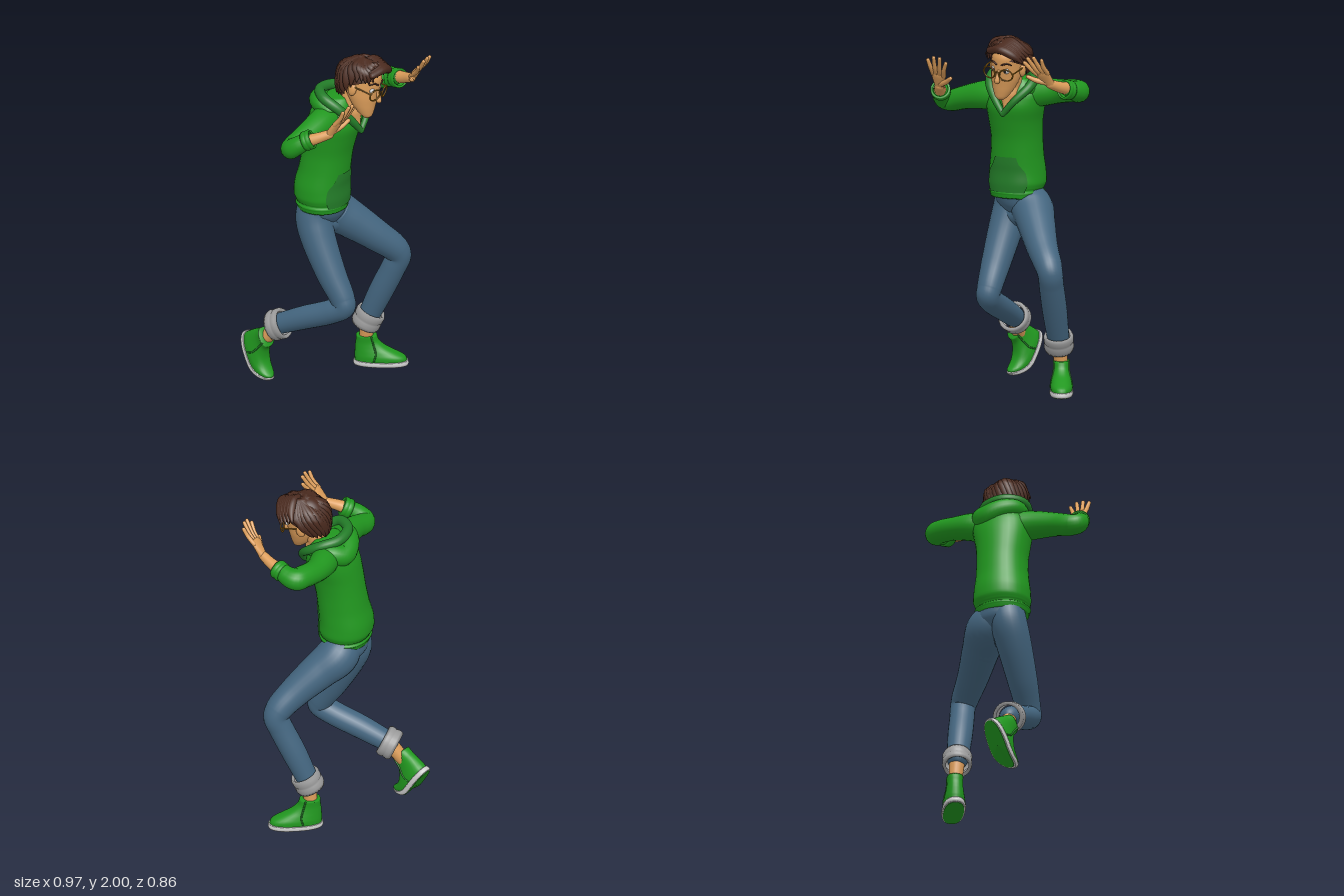
import * as THREE from 'three';

const V = (x, y, z) => new THREE.Vector3(x, y, z);
const paint = (color) => new THREE.MeshStandardMaterial({ color, side: THREE.DoubleSide });
const green = paint(0x21971f), darkGreen = paint(0x237c28), denim = paint(0x446680), skin = paint(0xdc9d5a),
  hair = paint(0x4a2a1e), grey = paint(0x9c9c9c), sole = paint(0xc4c4c4), gold = paint(0x9a6a14),
  white = paint(0xeeeeee), dark = paint(0x2a2522), lips = paint(0xa9603c);

function add(parent, name, geometry, material) {
  const mesh = new THREE.Mesh(geometry, material);
  mesh.name = name;
  parent.add(mesh);
  return mesh;
}

// Surface through equal rings of points; closed rings share their seam
function surface(rings, closed = true) {
  const n = rings[0].length, index = [];
  for (let i = 0; i < rings.length - 1; i++) {
    for (let j = 0; j < (closed ? n : n - 1); j++) {
      const k = (j + 1) % n, a = i * n + j, b = i * n + k;
      index.push(a, b, a + n, b, b + n, a + n);
    }
  }
  const g = new THREE.BufferGeometry().setFromPoints(rings.flat());
  g.setIndex(index);
  g.computeVertexNormals();
  return g;
}

// Stack of horizontal oval rings [x, y, z, radiusX, radiusZ, halfSpan?]; a span leaves an open front patch
function loft(list, { yaw = 0, power = 1, steps = 4, sides = 32 } = {}) {
  const open = list[0].length > 5;
  const centre = new THREE.CatmullRomCurve3(list.map((s) => V(s[0], s[1], s[2])));
  const size = new THREE.CatmullRomCurve3(list.map((s) => V(s[3], s[4], s[5] ?? Math.PI)));
  const rings = [], n = (list.length - 1) * steps, up = V(0, 1, 0);
  const bend = (v) => Math.sign(v) * Math.abs(v) ** power;
  for (let i = 0; i <= n; i++) {
    const c = centre.getPoint(i / n), r = size.getPoint(i / n);
    rings.push(Array.from({ length: sides }, (_, j) => {
      const a = r.z * (2 * j / (open ? sides - 1 : sides) - 1);
      return V(r.x * bend(Math.sin(a)), 0, r.y * bend(Math.cos(a))).applyAxisAngle(up, yaw).add(c);
    }));
  }
  if (!open) {
    for (const [end, at] of [['unshift', 0], ['push', n]]) {
      const c = centre.getPoint(at / n);
      rings[end](Array.from({ length: sides }, () => c.clone()));
    }
  }
  return surface(rings, !open);
}

// Round limb of varying thickness through [x, y, z, radius], with domed ends
function limb(list, sides = 18, steps = 6) {
  const path = new THREE.CatmullRomCurve3(list.map((s) => V(s[0], s[1], s[2])));
  const thick = new THREE.CatmullRomCurve3(list.map((s, i) => V(s[3], i, 0)));
  const n = (list.length - 1) * steps, rings = [];
  let normal = V(0.31, 0.2, 0.93);
  const ring = (t, dome) => {
    const tan = path.getTangent(t), r = thick.getPoint(t).x;
    normal = normal.clone().addScaledVector(tan, -normal.dot(tan)).normalize();
    const side = tan.clone().cross(normal), c = path.getPoint(t).addScaledVector(tan, r * Math.sin(dome));
    rings.push(Array.from({ length: sides }, (_, j) => {
      const a = j / sides * Math.PI * 2, q = r * Math.cos(dome);
      return c.clone().addScaledVector(normal, q * Math.cos(a)).addScaledVector(side, q * Math.sin(a));
    }));
  };
  for (const d of [-1.57, -1, -0.5]) ring(0, d);
  for (let i = 0; i <= n; i++) ring(i / n, 0);
  for (const d of [0.5, 1, 1.57]) ring(1, d);
  return surface(rings);
}

// Rolled fabric band around a limb
function band(parent, name, at, dir, r, h, material) {
  const profile = [[0.75, -0.35], [0.92, -0.5], [1, -0.3], [0.98, -0.05], [0.93, 0], [0.99, 0.06], [1, 0.32], [0.9, 0.5], [0.75, 0.35]];
  const m = add(parent, name, new THREE.LatheGeometry(profile.map(([x, y]) => new THREE.Vector2(x * r, y * h)), 28), material);
  m.position.set(...at);
  m.quaternion.setFromUnitVectors(V(0, 1, 0), V(...dir).normalize());
}

// Open hand: fingers along local y, thumb on the given side
function hand(parent, name, at, along, across, thumb) {
  const g = new THREE.Group(), y = V(...along).normalize(), x = V(...across);
  x.addScaledVector(y, -x.dot(y)).normalize();
  g.quaternion.setFromRotationMatrix(new THREE.Matrix4().makeBasis(x, y, x.clone().cross(y)));
  g.position.set(...at);
  g.name = name;
  parent.add(g);
  add(g, 'palm', loft([[0, -0.01, 0, 0.024, 0.022], [0, 0.03, 0, 0.034, 0.02], [0, 0.075, 0, 0.042, 0.017], [0, 0.1, 0, 0.036, 0.01]], { sides: 20 }), skin);
  [0.185, 0.208, 0.203, 0.175].forEach((tip, i) => {
    const b = (1.5 - i) * 0.021 * thumb;
    add(g, 'finger', limb([[b, 0.075, 0, 0.013], [b * 1.3, 0.13, 0.008, 0.0125], [b * 1.75, tip, 0.004, 0.0105]], 10, 4), skin);
  });
  add(g, 'thumb', limb([[0.012 * thumb, 0.02, 0.005, 0.018], [0.052 * thumb, 0.055, 0.015, 0.015], [0.084 * thumb, 0.095, 0.018, 0.011]], 10, 4), skin);
}

// High-topped shoe, toe along local z; curl lifts the toe tip
function shoe(parent, name, at, rx, ry, curl) {
  const g = new THREE.Group();
  g.name = name;
  g.position.set(...at);
  g.rotation.set(rx, ry, 0, 'YXZ');
  parent.add(g);
  add(g, 'shoeUpper', loft([[0, 0.02, 0.02, 0.06, 0.146], [0, 0.05, 0.016, 0.061, 0.142], [0, 0.08, -0.01, 0.055, 0.115],
    [0, 0.11, -0.038, 0.048, 0.085], [0, 0.145, -0.055, 0.044, 0.064], [0, 0.18, -0.06, 0.046, 0.057]], { power: 0.85 }), green);
  add(g, 'soleRim', loft([[0, 0.003, 0.02, 0.062, 0.15], [0, 0.015, 0.02, 0.066, 0.154], [0, 0.032, 0.02, 0.063, 0.15]], { power: 0.85 }), sole);
  add(g, 'tread', loft([[0, 0, 0.02, 0.056, 0.143], [0, 0.004, 0.02, 0.056, 0.143]], { power: 0.85 }), green);
  for (const s of [-1, 1]) {
    add(g, 'seam', limb([[s * 0.042, 0.178, -0.03, 0.005], [s * 0.043, 0.13, -0.018, 0.005], [s * 0.055, 0.08, -0.005, 0.005], [s * 0.061, 0.04, -0.015, 0.005]], 8, 4), darkGreen);
  }
  for (const { geometry } of g.children) {
    const p = geometry.attributes.position;
    for (let i = 0; i < p.count; i++) p.setY(i, p.getY(i) + curl * Math.max(0, p.getZ(i) - 0.05) ** 2);
    geometry.computeVertexNormals();
  }
}

function buildHead(parent) {
  const head = new THREE.Group();
  head.name = 'head';
  head.position.set(0.075, 1.825, 0.153);
  head.rotation.set(0.2, 0.33, -0.12, 'YXZ');
  parent.add(head);
  add(head, 'face', loft([[0, -0.172, 0.076, 0.015, 0.012], [0, -0.155, 0.066, 0.036, 0.038], [0, -0.11, 0.037, 0.062, 0.07], [0, -0.05, 0.012, 0.08, 0.095],
    [0, 0.01, 0, 0.084, 0.106], [0, 0.07, -0.005, 0.084, 0.108], [0, 0.12, -0.01, 0.062, 0.085], [0, 0.15, -0.01, 0.02, 0.03]]), skin);
  add(head, 'nose', limb([[0, 0.005, 0.1, 0.011], [0, -0.03, 0.12, 0.013], [0, -0.046, 0.124, 0.016]], 12, 4), skin);
  add(head, 'mouth', limb([[-0.03, -0.095, 0.084, 0.003], [0, -0.102, 0.1, 0.004], [0.03, -0.092, 0.084, 0.003]], 10, 4), lips);
  // Paired features of the face and the spectacles
  for (const s of [-1, 1]) {
    const ball = (name, x, y, z, r, m) => {
      const b = add(head, name, new THREE.SphereGeometry(1, 16, 12), m);
      b.position.set(s * x, y, z);
      b.scale.set(...r);
    };
    ball('ear', 0.092, -0.012, -0.005, [0.016, 0.036, 0.024], skin);
    ball('eye', 0.036, 0.008, 0.087, [0.02, 0.016, 0.014], white);
    ball('iris', 0.036, 0.008, 0.099, [0.008, 0.009, 0.004], dark);
    add(head, 'eyebrow', limb([[s * 0.016, 0.044, 0.103, 0.005], [s * 0.042, 0.054, 0.096, 0.005], [s * 0.066, 0.044, 0.078, 0.003]], 8, 4), hair);
    const rim = add(head, 'glassesRim', new THREE.TorusGeometry(0.039, 0.0045, 8, 32), gold);
    rim.position.set(s * 0.051, -0.005, 0.118);
    rim.rotation.y = s * 0.22;
    rim.scale.y = 0.82;
    add(head, 'glassesArm', limb([[s * 0.09, 0.006, 0.108, 0.004], [s * 0.097, 0.01, 0.05, 0.004], [s * 0.097, 0.008, -0.02, 0.004]], 8, 4), gold);
  }
  add(head, 'glassesBridge', limb([[-0.012, 0.002, 0.121, 0.004], [0, 0.008, 0.126, 0.004], [0.012, 0.002, 0.121, 0.004]], 8, 4), gold);

  // Hair: a cap with overlapping locks combed from the crown, then a swept fringe
  const cap = add(head, 'hairCap', new THREE.SphereGeometry(1, 28, 14, 0, Math.PI * 2, 0, 1.6), hair);
  cap.scale.set(0.1, 0.145, 0.122);
  cap.rotation.x = -0.5;
  cap.position.set(0, 0.02, -0.012);
  const on = (az, el, k, r) => [0.108 * k * Math.sin(az) * Math.cos(el), 0.015 + 0.14 * k * Math.sin(el), -0.008 + 0.125 * k * Math.cos(az) * Math.cos(el), r];
  for (let i = 0; i < 34; i++) {
    const az = i / 34 * Math.PI * 2, wob = Math.sin(i * 7.3), c = Math.cos(az), low = 0.14 + (c < 0 ? 0.9 : 0.58) * c + 0.14 * wob;
    add(head, 'hairLock', limb([on(az - 0.5, 1.3, 0.97, 0.022), on(az - 0.25, 0.62 + low * 0.45, 1.04 + 0.04 * wob, 0.027), on(az, low + 0.22, 1.06, 0.02),
      on(az + 0.12, low - 0.1, 1.13 + 0.08 * wob, 0.002)], 8, 4), hair);
  }
  for (let i = 0; i < 8; i++) {
    const k = i / 7, w = Math.sin(i * 3);
    add(head, 'fringeLock', limb([[-0.07 + 0.03 * k, 0.108 + 0.025 * k, 0.08 - 0.085 * k, 0.02], [0.005 + 0.02 * k, 0.135 + 0.02 * k, 0.1 - 0.085 * k, 0.026],
      [0.08 + 0.015 * k, 0.11 + 0.012 * k, 0.092 - 0.075 * k, 0.024], [0.136 + 0.02 * w, 0.068 + 0.025 * k, 0.08 - 0.085 * k, 0.002]], 9, 5), hair);
  }
}

export function createModel() {
  const model = new THREE.Group();
  model.name = 'crouchingFigure';

  // Hooded top
  add(model, 'hoodie', loft([[-0.05, 1.065, -0.035, 0.143, 0.132], [-0.05, 1.09, -0.037, 0.15, 0.138], [-0.05, 1.115, -0.038, 0.15, 0.138], [-0.05, 1.15, -0.042, 0.16, 0.149],
    [-0.05, 1.21, -0.042, 0.157, 0.147], [-0.04, 1.3, -0.03, 0.146, 0.14], [-0.03, 1.4, -0.018, 0.142, 0.137], [-0.02, 1.5, 0, 0.15, 0.142],
    [-0.006, 1.58, 0.014, 0.163, 0.145], [0.005, 1.65, 0.015, 0.163, 0.128], [0.012, 1.71, 0.02, 0.13, 0.1], [0.02, 1.745, 0.03, 0.08, 0.07]], { yaw: 0.28, power: 0.93 }), green);
  add(model, 'frontPocket', loft([[-0.05, 1.1, -0.038, 0.158, 0.146, 0.72], [-0.05, 1.15, -0.042, 0.165, 0.154, 0.82], [-0.05, 1.21, -0.042, 0.162, 0.152, 0.76],
    [-0.045, 1.26, -0.035, 0.156, 0.149, 0.52], [-0.04, 1.3, -0.03, 0.151, 0.145, 0.42]], { yaw: 0.3, power: 0.93 }), darkGreen);
  add(model, 'hoodRim', limb([[0.055, 1.555, 0.17, 0.016], [-0.012, 1.635, 0.168, 0.022], [-0.085, 1.715, 0.135, 0.027], [-0.12, 1.762, 0.06, 0.029], [-0.07, 1.772, -0.035, 0.029],
    [0.04, 1.762, -0.06, 0.029], [0.12, 1.745, -0.01, 0.028], [0.15, 1.7, 0.065, 0.025], [0.115, 1.63, 0.14, 0.02], [0.055, 1.555, 0.17, 0.016]]), darkGreen);
  add(model, 'hoodDrape', limb([[-0.105, 1.69, 0.08, 0.04], [-0.105, 1.715, 0.01, 0.052], [-0.055, 1.705, -0.055, 0.058], [0.03, 1.675, -0.085, 0.064],
    [0.1, 1.7, -0.045, 0.052], [0.125, 1.69, 0.03, 0.04]]), green);
  add(model, 'neck', limb([[0.052, 1.59, 0.138, 0.02], [0.045, 1.645, 0.11, 0.052], [0.045, 1.71, 0.09, 0.056], [0.065, 1.78, 0.115, 0.054]]), skin);
  buildHead(model);

  // Arms
  add(model, 'leftSleeve', limb([[0.07, 1.65, 0, 0.08], [0.16, 1.668, -0.05, 0.078], [0.26, 1.68, -0.08, 0.066], [0.36, 1.695, -0.08, 0.064], [0.41, 1.698, -0.07, 0.063],
    [0.427, 1.708, -0.025, 0.056], [0.426, 1.725, 0.02, 0.046]]), green);
  add(model, 'rightSleeve', limb([[-0.06, 1.63, 0.04, 0.088], [-0.17, 1.625, 0.085, 0.08], [-0.3, 1.6, 0.115, 0.066], [-0.4, 1.572, 0.13, 0.06], [-0.428, 1.575, 0.15, 0.056],
    [-0.415, 1.605, 0.19, 0.052], [-0.38, 1.638, 0.228, 0.046]]), green);
  band(model, 'leftSleeveCuff', [0.427, 1.72, 0.032], [0, 0.25, 1], 0.056, 0.055, green);
  band(model, 'rightSleeveCuff', [-0.375, 1.643, 0.235], [0.6, 0.45, 0.7], 0.056, 0.055, green);
  add(model, 'leftForearm', limb([[0.427, 1.725, 0.02, 0.037], [0.43, 1.742, 0.09, 0.031], [0.425, 1.765, 0.155, 0.026]]), skin);
  add(model, 'rightForearm', limb([[-0.385, 1.635, 0.225, 0.037], [-0.345, 1.658, 0.272, 0.031], [-0.295, 1.685, 0.32, 0.026]]), skin);
  hand(model, 'leftHand', [0.425, 1.768, 0.16], [-0.015, 0.17, 0.14], [1, -0.25, -0.65], -1);
  hand(model, 'rightHand', [-0.292, 1.69, 0.323], [0.075, 0.18, 0.09], [1, -0.25, -0.45], 1);

  // Jeans
  add(model, 'jeansSeat', loft([[-0.02, 0.95, -0.055, 0.05, 0.06], [-0.025, 0.98, -0.052, 0.1, 0.09], [-0.035, 1.03, -0.05, 0.136, 0.12], [-0.045, 1.1, -0.038, 0.142, 0.13]], { yaw: 0.15 }), denim);
  add(model, 'jeansCrotch', limb([[-0.09, 0.98, -0.03, 0.085], [-0.045, 0.965, -0.03, 0.075], [0.01, 0.963, -0.028, 0.07], [0.07, 0.955, -0.028, 0.085], [0.13, 0.92, -0.01, 0.095]], 24), denim);
  add(model, 'leftTrouserLeg', limb([[-0.015, 1.06, -0.055, 0.105], [0.045, 1.005, -0.058, 0.118], [0.13, 0.935, -0.012, 0.106], [0.255, 0.825, 0.06, 0.088], [0.352, 0.735, 0.103, 0.076],
    [0.373, 0.69, 0.108, 0.07], [0.358, 0.62, 0.085, 0.069], [0.32, 0.47, 0.025, 0.069], [0.28, 0.3, -0.04, 0.06]], 24), denim);
  add(model, 'rightTrouserLeg', limb([[-0.095, 1.07, -0.05, 0.097], [-0.104, 1, -0.048, 0.102], [-0.106, 0.9, -0.012, 0.098], [-0.088, 0.7, 0.085, 0.083], [-0.067, 0.57, 0.155, 0.07],
    [-0.067, 0.527, 0.168, 0.066], [-0.1, 0.483, 0.105, 0.068], [-0.17, 0.415, -0.045, 0.066], [-0.235, 0.345, -0.19, 0.058]], 24), denim);
  band(model, 'leftTrouserCuff', [0.28, 0.287, -0.043], [0.3, 1, 0.35], 0.083, 0.105, grey);
  band(model, 'rightTrouserCuff', [-0.237, 0.34, -0.195], [0.4, 0.42, 0.85], 0.088, 0.085, grey);

  // Ankles and shoes; the trailing foot stands on its toes
  add(model, 'leftAnkle', limb([[0.28, 0.29, -0.043, 0.044], [0.277, 0.16, -0.062, 0.037]]), skin);
  add(model, 'rightAnkle', limb([[-0.235, 0.34, -0.19, 0.044], [-0.28, 0.23, -0.27, 0.037]]), skin);
  shoe(model, 'leftShoe', [0.325, 0, -0.02], 0, 0.82, 0);
  shoe(model, 'rightShoe', [-0.285, 0.118, -0.362], 1.02, 0, 4.5);
  return model;
}
